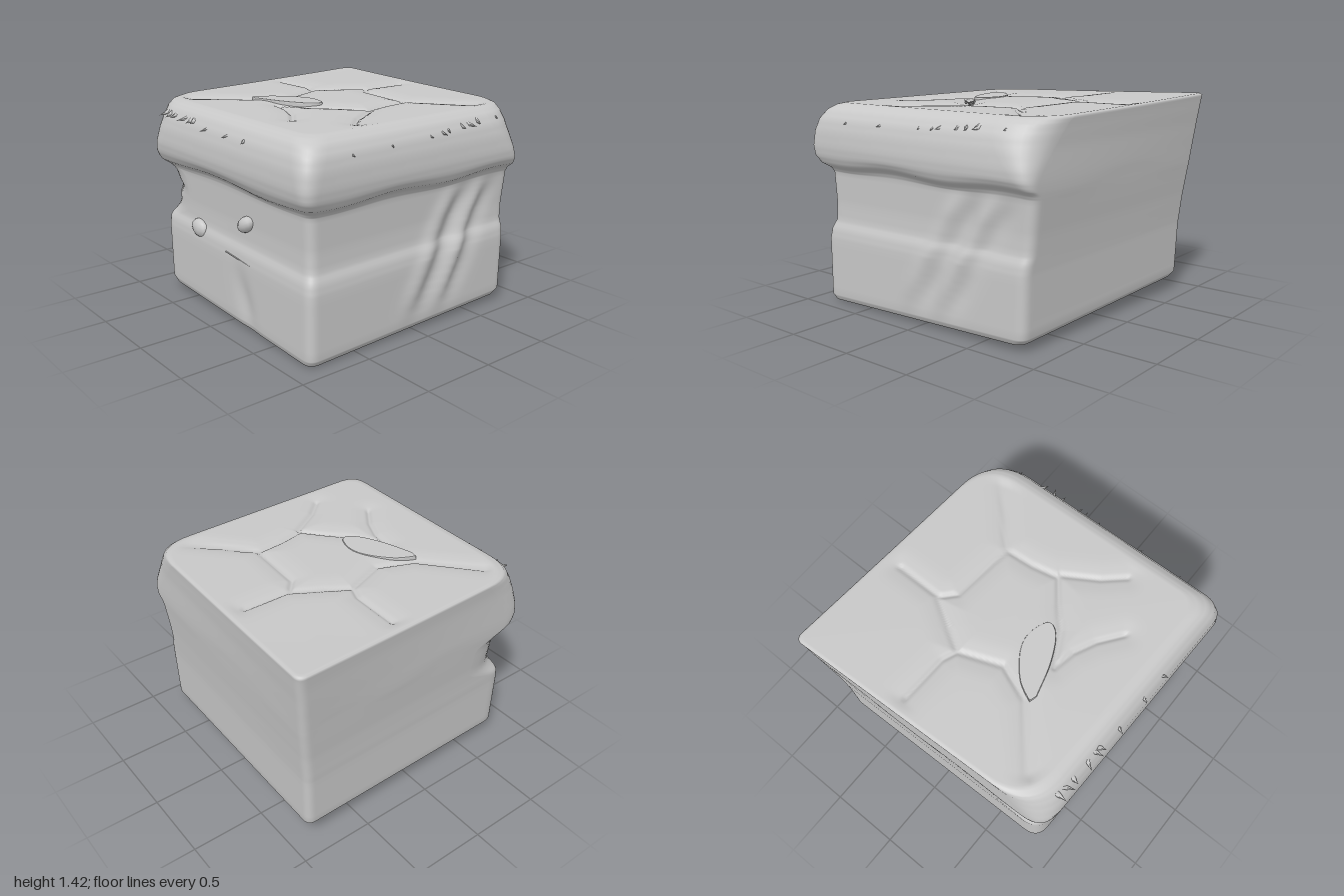
import * as THREE from 'three';

const stone = new THREE.MeshStandardMaterial({ color: 0xc8c8c8 });
stone.name = 'pale grey stone';

const { lerp, clamp, smoothstep } = THREE.MathUtils;
const bell = (d, w) => Math.exp(-(d * d) / (w * w));

// Height, then back-left corner x and z, then front-right corner x and z
const LEVELS = [
  [0.00, -0.80, -0.82, 0.85, 0.83], [0.01, -0.845, -0.855, 0.885, 0.86],
  [0.05, -0.875, -0.885, 0.905, 0.874], [0.45, -0.885, -0.895, 0.905, 0.874],
  [0.52, -0.89, -0.90, 0.895, 0.865], [0.58, -0.893, -0.905, 0.87, 0.842],
  [0.70, -0.90, -0.915, 0.865, 0.838], [0.92, -0.922, -0.94, 0.872, 0.847],
  [0.95, -0.925, -0.943, 0.89, 0.86], [0.98, -0.928, -0.946, 0.935, 0.905],
  [1.03, -0.934, -0.952, 0.96, 0.937], [1.10, -0.942, -0.96, 0.97, 0.95],
  [1.20, -0.955, -0.972, 0.966, 0.946], [1.28, -0.965, -0.985, 0.947, 0.926],
  [1.34, -0.974, -0.993, 0.908, 0.89], [1.372, -0.979, -0.998, 0.86, 0.85],
  [1.385, -0.965, -0.985, 0.82, 0.80],
];

// Cracks between the slabs on top, as x, z points
const CRACKS = [
  [[-0.19, -0.83], [-0.19, -0.52], [-0.40, -0.17], [-0.29, 0.11]],
  [[-0.83, -0.22], [-0.5, -0.21], [-0.40, -0.17]],
  [[0.8, -0.77], [0.6, -0.6], [0.34, -0.38], [0.36, -0.18], [0.40, 0], [0.25, 0.12], [0.12, 0.24], [-0.1, 0.36]],
  [[0.42, 0], [0.56, 0.22], [0.68, 0.35]],
  [[-0.1, 0.36], [0.05, 0.39], [0.2, 0.46], [0.35, 0.57]],
  [[-0.75, 0.68], [-0.38, 0.35], [-0.29, 0.11]],
  [[-0.19, -0.5], [-0.1, -0.42], [0.34, -0.38]],
];

function crackDistance(x, z) {
  let best = 9;
  for (const line of CRACKS) {
    for (let i = 0; i + 1 < line.length; i++) {
      const [ax, az] = line[i], [bx, bz] = line[i + 1];
      const dx = bx - ax, dz = bz - az;
      const t = clamp(((x - ax) * dx + (z - az) * dz) / (dx * dx + dz * dz), 0, 1);
      best = Math.min(best, Math.hypot(x - ax - t * dx, z - az - t * dz));
    }
  }
  return best;
}

// Underside tilts up to the back left, the top rises to its back-left corner
const floorTilt = (x, z) => Math.max(0, 0.045 - 0.027 * x - 0.023 * z);
const topTilt = (x, z) => 0.045 * Math.pow(clamp((0.9 - x) / 1.9, 0, 1) * clamp((0.9 - z) / 1.9, 0, 1), 1.3);

// Rounded four-cornered outline at one height
const EDGE = 90, ARC = 10;
function outline(l) {
  const [y, xl, zb, xr, zf] = l;
  const up = smoothstep(y, 0.93, 1.35);
  const waist = smoothstep(y, 0.52, 0.66) * (1 - smoothstep(y, 0.86, 1.0));
  const skew = lerp(0.05, 0.09, up);
  const corners = [
    [xl, zb, 0.06],
    [xr - lerp(0.02, 0.05, up), zb + skew, lerp(0.07, 0.28, up)],
    [xr, zf, lerp(0.07, 0.14, up)],
    [xl + skew, zf - lerp(0.03, 0.05, up), lerp(0.12, 0.28, up) + 0.2 * waist],
  ].map(([x, z, r]) => ({ p: new THREE.Vector2(x, z), r }));
  const towards = (a, b) => a.p.clone().add(b.p.clone().sub(a.p).setLength(a.r));
  const pts = [];
  corners.forEach((c, i) => {
    const prev = corners[(i + 3) % 4], next = corners[(i + 1) % 4];
    const end = towards(c, next), nextStart = towards(next, c);
    const arc = new THREE.QuadraticBezierCurve(towards(c, prev), c.p, end);
    for (let k = 0; k < ARC; k++) pts.push(arc.getPoint(k / ARC));
    for (let k = 0; k < EDGE; k++) pts.push(end.clone().lerp(nextStart, k / EDGE));
  });
  return pts;
}

function blockGeometry() {
  const pos = [], idx = [], N = 4 * (EDGE + ARC);
  let rows = 0;
  const addRow = (pts, fn) => {
    pts.forEach((p) => pos.push(...fn(p.x, p.y)));
    rows++;
  };
  // Underside
  const base = outline(LEVELS[0]);
  for (const s of [0.001, 0.5]) addRow(base, (x, z) => [x * s, floorTilt(x * s, z * s), z * s]);
  // Walls and overhanging lip, with slanted furrows and soft dents
  const wall = (y) => (x, z) => {
    const mid = smoothstep(y, 0.05, 0.3) * (1 - smoothstep(y, 0.75, 0.95));
    let dx = 0, dz = 0;
    if (x > 0.8) {
      const u = z + 0.55 * y;
      dx = mid * (0.02 * bell(u - 0.18, 0.07) - 0.022 * bell(u - 0.04, 0.07) + 0.02 * bell(u + 0.1, 0.06) - 0.02 * bell(u + 0.22, 0.08));
      dx *= 1 - smoothstep(z, 0.3, 0.6);
    }
    if (z > 0.7) {
      dz = -0.02 * bell(x - 0.2 + 0.3 * (y - 0.2), 0.09) * bell(y - 0.2, 0.17);
      dz -= 0.03 * bell(x + 0.72, 0.1) * bell(y - 0.78, 0.04);
    }
    const under = bell(y - 0.97, 0.06) * 0.012 * (Math.sin(5 * x + 2) + Math.sin(7 * z));
    const dy = floorTilt(x, z) * (1 - smoothstep(y, 0, 0.9)) + topTilt(x, z) * smoothstep(y, 1.1, 1.37);
    return [x + dx, y + dy + under, z + dz];
  };
  for (let i = 0; i + 1 < LEVELS.length; i++) {
    const steps = LEVELS[i + 1][0] - LEVELS[i][0] > 0.15 ? 7 : 3;
    for (let k = 0; k < steps; k++) {
      const l = LEVELS[i].map((v, n) => lerp(v, LEVELS[i + 1][n], k / steps));
      addRow(outline(l), wall(l[0]));
    }
  }
  // Cracked top, closing in on the middle
  const rim = outline(LEVELS.at(-1)), RINGS = 64;
  for (let k = 0; k <= RINGS; k++) {
    const s = Math.max(0.0005, 1 - k / RINGS);
    addRow(rim, (px, pz) => {
      const x = px * s, z = pz * s, d = crackDistance(x, z);
      const groove = 0.016 * bell(d, 0.018) + 0.014 * bell(d, 0.08);
      return [x, 1.385 + topTilt(x, z) + 0.008 * (1 - s) - groove * smoothstep(1 - s, 0, 0.08), z];
    });
  }
  for (let i = 0; i + 1 < rows; i++) {
    for (let j = 0; j < N; j++) {
      const a = i * N + j, b = i * N + (j + 1) % N;
      idx.push(a, a + N, b + N, a, b + N, b);
    }
  }
  const g = new THREE.BufferGeometry();
  g.setAttribute('position', new THREE.Float32BufferAttribute(pos, 3));
  g.setIndex(idx);
  g.computeVertexNormals();
  return g;
}

export function createModel() {
  const model = new THREE.Group();
  model.name = 'stoneBlock';
  const add = (name, geometry, x = 0, y = 0, z = 0, parent = model) => {
    const m = new THREE.Mesh(geometry, stone);
    m.name = name;
    m.position.set(x, y, z);
    parent.add(m);
    return m;
  };
  add('block', blockGeometry());

  // Leaf-shaped flat pebble on top
  const leaf = new THREE.Shape();
  leaf.moveTo(-0.37, -0.38);
  leaf.splineThru([[-0.3, -0.25], [-0.15, -0.13], [-0.02, -0.1], [0.11, -0.15], [0.07, -0.24], [-0.1, -0.33], [-0.32, -0.395]]
    .map(([x, y]) => new THREE.Vector2(x, y)));
  leaf.closePath();
  const pebble = new THREE.ExtrudeGeometry(leaf, {
    depth: 0.04, bevelThickness: 0.008, bevelSize: 0.008, bevelOffset: -0.008, bevelSegments: 2, curveSegments: 40,
  });
  add('flatPebble', pebble, 0, 1.357, 0).rotation.x = -Math.PI / 2;

  // Stone nubs and a thin ledge on the front wall
  for (const [x, y, z, w, h, turn] of [[-0.37, 0.55, 0.825, 0.092, 0.064, -0.1], [0.2, 0.72, 0.83, 0.085, 0.05, 0.5]]) {
    const nub = add('frontNub', new THREE.SphereGeometry(1, 10, 8), x, y, z);
    nub.scale.set(w, h, 0.045);
    nub.rotation.z = turn;
  }
  add('frontLedge', new THREE.BoxGeometry(0.48, 0.006, 0.02), 0.235, 0.47, 0.852).rotation.z = -0.08;

  // Small thorns along the lip
  const thorns = new THREE.Group();
  thorns.name = 'lipThorns';
  model.add(thorns);
  const up = new THREE.Vector3(0, 1, 0);
  const thorn = (x, y, z, dir, i) => {
    const m = add('thorn', new THREE.ConeGeometry(0.024, 0.1, 5), x, y, z, thorns);
    m.quaternion.setFromUnitVectors(up, dir.normalize());
    m.scale.set(1, 0.8 + 0.2 * Math.sin(i * 2.3), 0.75);
  };
  [-0.69, -0.62, -0.56, -0.43, -0.34, -0.30, -0.13, 0.12, 0.32].forEach((x, i) =>
    thorn(x, 1.3 - 0.02 * (i > 5), 0.925 - 0.05 * (0.95 - x) / 1.9, new THREE.Vector3(0.5 * Math.sin(i * 1.7), -0.25, 1), i));
  [0.59, 0.27, -0.05, -0.16, -0.22, -0.35, -0.42, -0.5, -0.7].forEach((z, i) =>
    thorn(0.935 - 0.05 * (0.95 - z) / 1.9 - (i > 7 ? 0.03 : 0), 1.27 + 0.006 * i, z, new THREE.Vector3(1, -0.25, 0.5 * Math.sin(i * 1.9)), i));
  return model;
}
